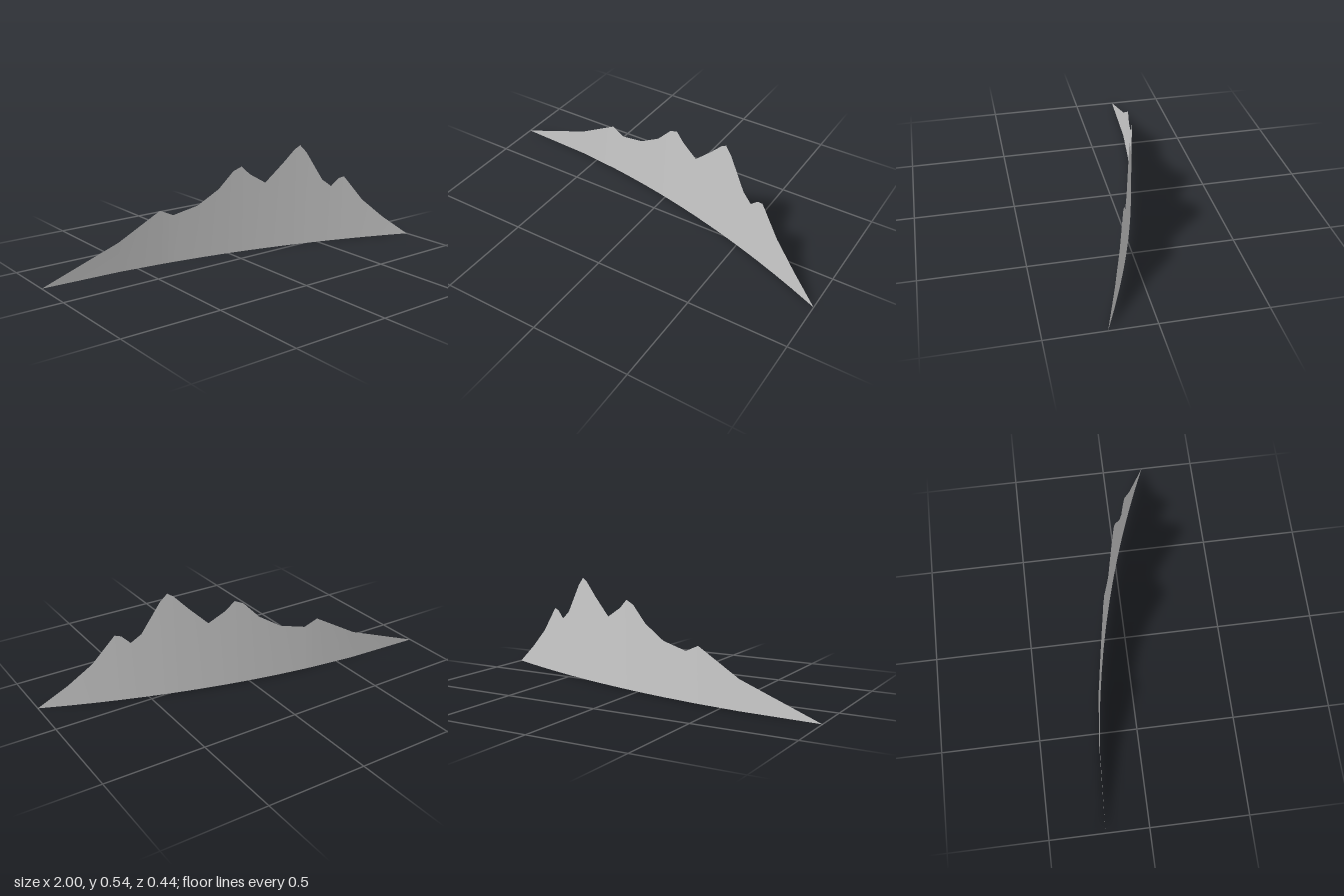
import * as THREE from 'three';

// Ridge line of the mountain range: [x, height]
const RIDGE = [
  [-1, 0], [-0.595, 0.15], [-0.37, 0.278], [-0.3, 0.245], [-0.165, 0.278],
  [-0.05, 0.35], [0.03, 0.435], [0.075, 0.455], [0.12, 0.41], [0.205, 0.357],
  [0.3, 0.45], [0.365, 0.52], [0.395, 0.54], [0.43, 0.5], [0.52, 0.345],
  [0.57, 0.305], [0.61, 0.345], [0.64, 0.353], [0.745, 0.215], [0.86, 0.11], [1, 0],
];

// Depth of the gently curved backdrop at a given x
const depthAt = (x) => -0.109 + 0.22 * x + 0.109 * x * x;

export function createModel() {
  const model = new THREE.Group();
  model.name = 'mountainBackdrop';

  const stone = new THREE.MeshStandardMaterial({ color: 0xcccccc, side: THREE.DoubleSide });
  stone.name = 'pale grey';

  // One column per ridge point: a foot vertex and a ridge vertex
  const positions = [];
  const indices = [];
  const last = RIDGE.length - 1;
  RIDGE.forEach(([x, y], i) => {
    const z = depthAt(x);
    positions.push(x, 0, z, x, y, z);
    if (i === last) return;
    const a = i * 2;
    // The sheet tapers to a point at both ends
    if (i < last - 1) indices.push(a, a + 2, a + 3);
    else indices.push(a, a + 2, a + 1);
    if (i > 0 && i < last - 1) indices.push(a, a + 3, a + 1);
  });

  const geometry = new THREE.BufferGeometry();
  geometry.setAttribute('position', new THREE.Float32BufferAttribute(positions, 3));
  geometry.setIndex(indices);
  geometry.computeVertexNormals();

  const ridge = new THREE.Mesh(geometry, stone);
  ridge.name = 'mountainRidge';
  model.add(ridge);
  return model;
}
